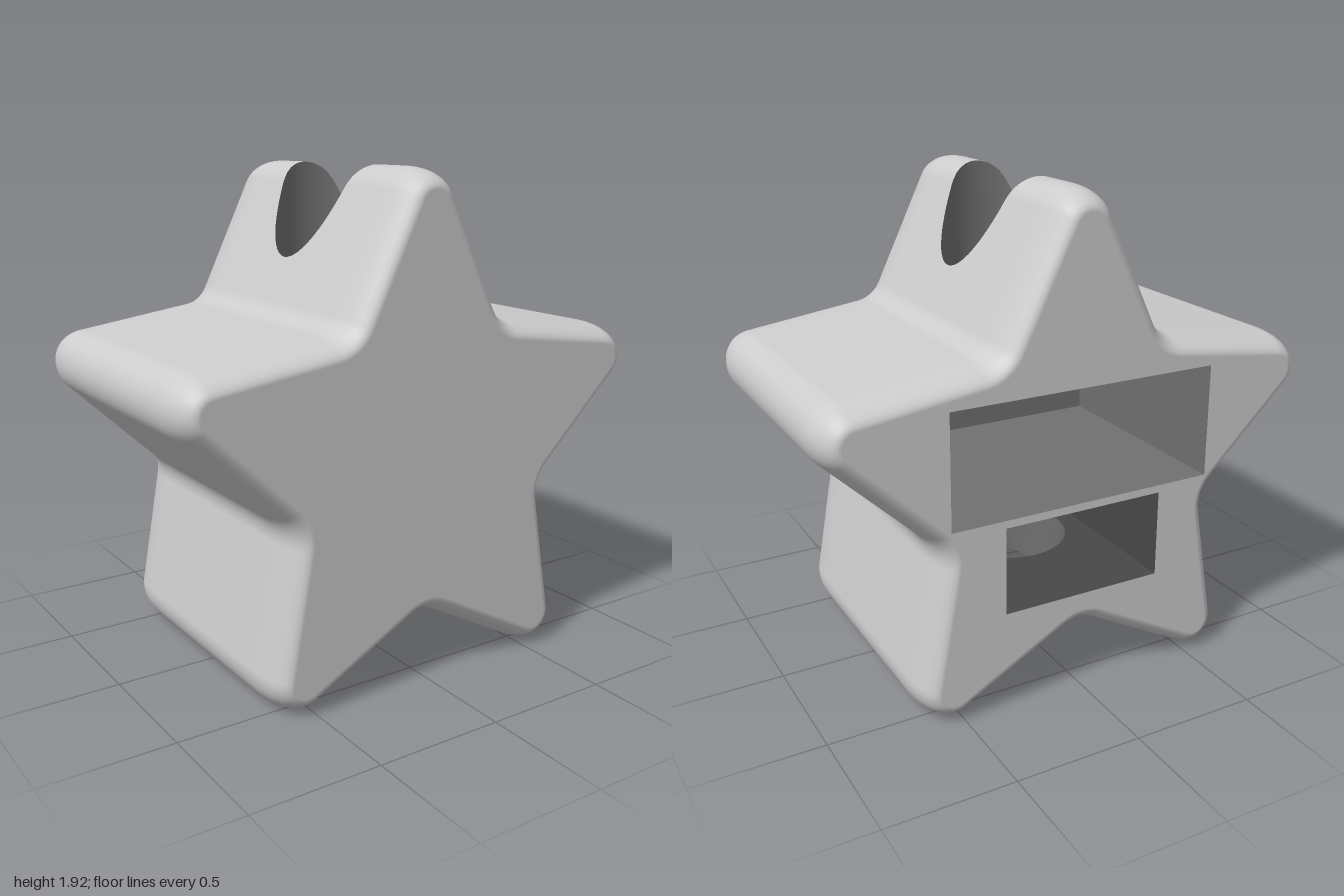
import * as THREE from 'three';

const RAD = Math.PI / 180;
const CY = 0.87;                       // height of the star centre
const TIP_DIST = 0.914, TIP_R = 0.131; // rounded points
const INNER_DIST = 0.725, INNER_R = 0.11; // filleted notches
const HALF_Z = 0.61, BEVEL_Z = 0.19, BEVEL_IN = 0.075;
const BORE = 0.25;                     // radius of the vertical bore
const CAVITY_END = 0.3;
const UPPER = { w: 0.545, y0: 0.775, y1: 1.22 };
const LOWER = { w: 0.33, y0: 0.4, y1: 0.745 };

// Right half of the outline, from the top point clockwise to the bottom notch
function halfOutline() {
  const pts = [];
  const arc = (axis, from, to, dist, r, steps) => {
    const cx = dist * Math.cos(axis * RAD), cy = CY + dist * Math.sin(axis * RAD);
    for (let i = 0; i <= steps; i++) {
      const a = (from + (to - from) * i / steps) * RAD;
      const n = new THREE.Vector2(Math.cos(a), Math.sin(a));
      pts.push({ p: new THREE.Vector2(cx + r * n.x, cy + r * n.y), n });
    }
  };
  arc(90, 90, 25.8, TIP_DIST, TIP_R, 8);
  arc(54, 25.8, 82.2, INNER_DIST, -INNER_R, 8);
  arc(18, 82.2, -46.2, TIP_DIST, TIP_R, 16);
  arc(-18, -46.2, 10.2, INNER_DIST, -INNER_R, 8);
  arc(-54, 10.2, -118.2, TIP_DIST, TIP_R, 16);
  arc(-90, -118.2, -90, INNER_DIST, -INNER_R, 5);
  return pts;
}

// Point on a run of outline points (growing x) at a given x
function atX(run, x) {
  let i = 0;
  while (i < run.length - 2 && run[i + 1].p.x < x) i++;
  const a = run[i], b = run[i + 1];
  const t = Math.min(1, Math.max(0, (x - a.p.x) / (b.p.x - a.p.x)));
  return { p: a.p.clone().lerp(b.p, t), n: a.n.clone().lerp(b.n, t).normalize() };
}

// Rounded side wall of one half, opened where the bore passes through
function sideGeometry(half, top, bottom, mirror) {
  const layers = [];
  for (let i = 0; i <= 8; i++) {
    const a = i / 8 * Math.PI / 2;
    layers.push({ z: HALF_Z - BEVEL_Z + BEVEL_Z * Math.sin(a), inset: BEVEL_IN * (1 - Math.cos(a)),
      nr: Math.cos(a) / BEVEL_IN, nz: Math.sin(a) / BEVEL_Z });
  }
  const back = layers.map(l => ({ ...l, z: -l.z, nz: -l.nz })).reverse();
  const middle = [];
  for (let i = 0; i <= 32; i++) middle.push({ z: -BORE * Math.cos(i / 32 * Math.PI), inset: 0, nr: 1, nz: 0 });
  const all = [...back, ...middle, ...layers];

  const pos = [], nor = [], index = [], s = mirror ? -1 : 1, m = half.length;
  all.forEach((l, j) => {
    const w = Math.sqrt(Math.max(0, BORE * BORE - l.z * l.z));
    half.forEach((q, i) => {
      const c = q.p.x < w ? atX(q.p.y > CY ? top : bottom, w) : q;
      pos.push(s * (c.p.x - c.n.x * l.inset), c.p.y - c.n.y * l.inset, l.z);
      const n = new THREE.Vector3(s * c.n.x * l.nr, c.n.y * l.nr, l.nz).normalize();
      nor.push(n.x, n.y, n.z);
      if (j < all.length - 1 && i < m - 1) {
        const a = j * m + i, b = a + 1, d = a + m, e = d + 1;
        if (mirror) index.push(a, b, d, b, e, d);
        else index.push(a, d, b, b, d, e);
      }
    });
  });
  const g = new THREE.BufferGeometry();
  g.setAttribute('position', new THREE.Float32BufferAttribute(pos, 3));
  g.setAttribute('normal', new THREE.Float32BufferAttribute(nor, 3));
  g.setIndex(index);
  return g;
}

function rectPath(x0, x1, y0, y1, Type) {
  const r = new Type();
  r.moveTo(x0, y0); r.lineTo(x1, y0); r.lineTo(x1, y1); r.lineTo(x0, y1); r.closePath();
  return r;
}

// Flat star face, optionally with the two rectangular openings
function faceShape(half, open) {
  const right = half.map(q => q.p.clone().addScaledVector(q.n, -BEVEL_IN));
  const left = right.slice(1, -1).reverse().map(p => new THREE.Vector2(-p.x, p.y));
  const shape = new THREE.Shape([...right, ...left]);
  if (open) for (const c of [UPPER, LOWER]) shape.holes.push(rectPath(-c.w, c.w, c.y0, c.y1, THREE.Path));
  return shape;
}

// Wall of the bore, running from a flat end to the outline
function boreGeometry(run, flatY) {
  const pos = [], index = [], steps = 64;
  for (let i = 0; i <= steps; i++) {
    const a = i / steps * Math.PI * 2, x = BORE * Math.cos(a), z = BORE * Math.sin(a);
    pos.push(x, flatY, z, x, atX(run, Math.abs(x)).p.y, z);
    if (i < steps) { const k = i * 2; index.push(k, k + 2, k + 1, k + 1, k + 2, k + 3); }
  }
  const g = new THREE.BufferGeometry();
  g.setAttribute('position', new THREE.Float32BufferAttribute(pos, 3));
  g.setIndex(index);
  g.computeVertexNormals();
  return g;
}

export function createModel() {
  const group = new THREE.Group();
  const shell = new THREE.MeshStandardMaterial({ color: 0xcccccc });
  const inside = new THREE.MeshStandardMaterial({ color: 0x707070, side: THREE.DoubleSide });
  const deep = new THREE.MeshStandardMaterial({ color: 0x484848, side: THREE.DoubleSide });
  shell.name = 'light grey';
  inside.name = 'mid grey';
  deep.name = 'dark grey';
  const add = (name, geometry, material, parent = group) => {
    const mesh = new THREE.Mesh(geometry, material);
    mesh.name = name;
    parent.add(mesh);
    return mesh;
  };

  const half = halfOutline();
  const top = half.slice(0, 10), bottom = half.slice(-7).reverse();

  // Star body
  add('starSideLeft', sideGeometry(half, top, bottom, false), shell);
  add('starSideRight', sideGeometry(half, top, bottom, true), shell);
  add('frontFace', new THREE.ShapeGeometry(faceShape(half, false)), shell).position.z = HALF_Z;
  const backFace = add('backFace', new THREE.ShapeGeometry(faceShape(half, true)), shell);
  backFace.rotation.y = Math.PI;
  backFace.position.z = -HALF_Z;

  // Vertical bore through the top point and the bottom notch
  add('topBore', boreGeometry(top, UPPER.y1), inside);
  add('bottomBore', boreGeometry(bottom, LOWER.y0), inside);

  // Two cavities open to the back
  const cavity = (name, c, material, boredY) => {
    const box = new THREE.Group();
    box.name = name;
    group.add(box);
    const h = c.y1 - c.y0, mid = (c.y0 + c.y1) / 2, depth = HALF_Z + CAVITY_END;
    for (const y of [c.y0, c.y1]) {
      const s = rectPath(-c.w, c.w, -HALF_Z, CAVITY_END, THREE.Shape);
      if (y === boredY) s.holes.push(new THREE.Path().absarc(0, 0, BORE, 0, Math.PI * 2));
      const g = new THREE.ShapeGeometry(s, 32).rotateX(Math.PI / 2);
      add(y === c.y0 ? 'floor' : 'ceiling', g, material, box).position.y = y;
    }
    for (const s of [-1, 1]) {
      const g = new THREE.PlaneGeometry(depth, h).rotateY(-s * Math.PI / 2);
      add('sideWall', g, material, box).position.set(s * c.w, mid, (CAVITY_END - HALF_Z) / 2);
    }
    const end = new THREE.PlaneGeometry(c.w * 2, h).rotateY(Math.PI);
    add('endWall', end, material, box).position.set(0, mid, CAVITY_END);
  };
  cavity('upperCavity', UPPER, inside, UPPER.y1);
  cavity('lowerCavity', LOWER, deep, LOWER.y0);
  return group;
}
